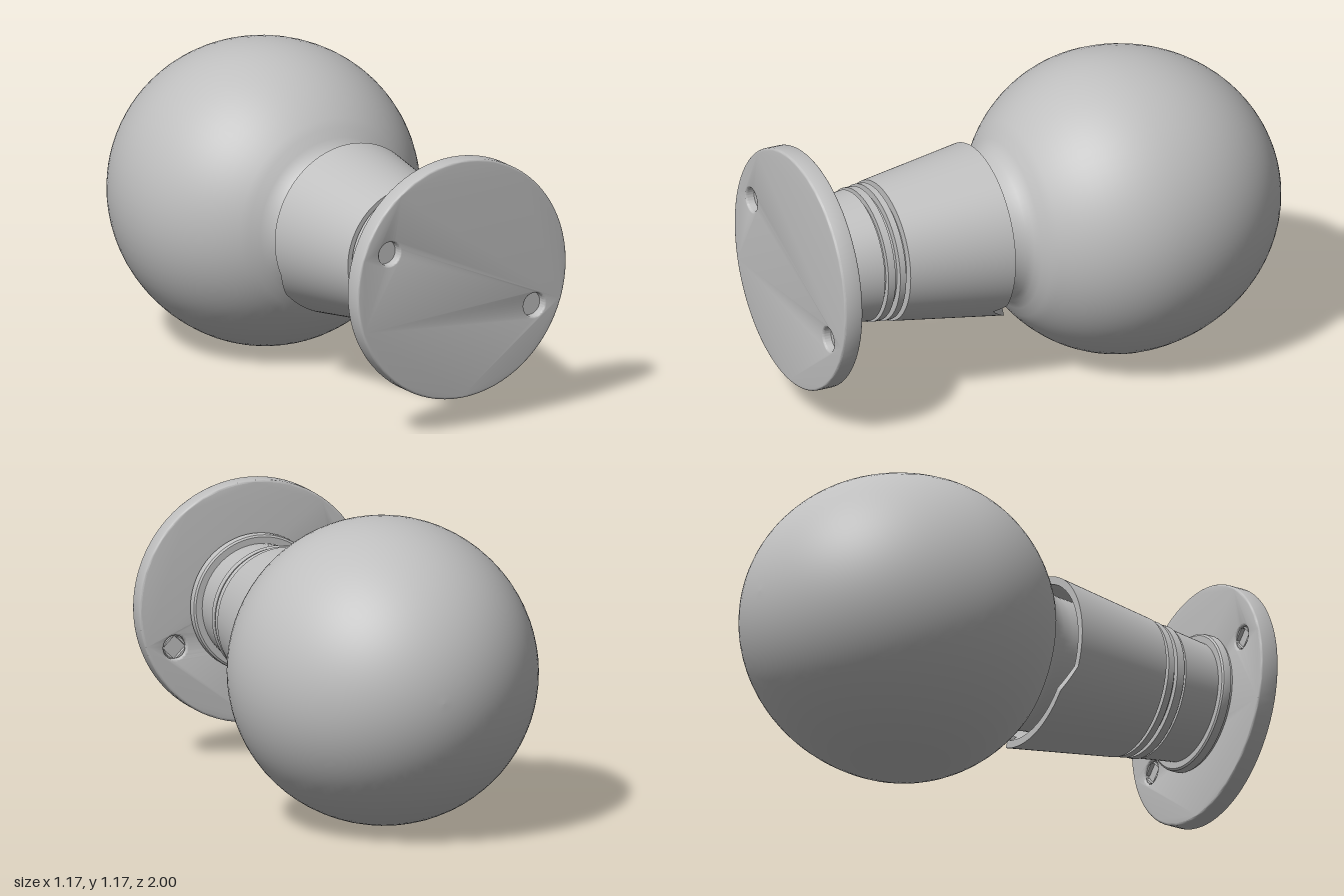
import * as THREE from 'three';
import { toCreasedNormals } from 'three/addons/utils/BufferGeometryUtils.js';

const AXIS_Y = 0.585; // height of the lamp axis, which runs along z

export function createModel() {
  const model = new THREE.Group();
  model.name = 'wallLamp';
  const lamp = new THREE.Group();
  lamp.name = 'lamp';
  lamp.position.y = AXIS_Y;
  model.add(lamp);

  const grey = new THREE.MeshStandardMaterial({ color: 0xbfbfbf });
  grey.name = 'grey';

  function add(name, geometry, parent = lamp) {
    const mesh = new THREE.Mesh(geometry, grey);
    mesh.name = name;
    parent.add(mesh);
    return mesh;
  }

  // Turned part around z; profile is [radius, z] with z increasing
  function turned(profile, segments = 72) {
    const points = profile.map(([r, z]) => new THREE.Vector2(r, z));
    return new THREE.LatheGeometry(points, segments).rotateX(Math.PI / 2);
  }

  // Bulb: two half ellipses flowing into a narrow neck
  const bulb = [];
  for (let i = 0; i <= 24; i++) {
    const a = (i / 24) * Math.PI / 2;
    bulb.push([0.583 * Math.sin(a), -0.36 - 0.64 * Math.cos(a)]);
  }
  for (let i = 1; i <= 12; i++) {
    const a = (i / 12) * 0.84;
    bulb.push([0.583 * Math.cos(a), -0.36 + 0.566 * Math.sin(a)]);
  }
  bulb.push([0.36, 0.085], [0.325, 0.104], [0.3, 0.122], [0.285, 0.143],
    [0.273, 0.175], [0.262, 0.22], [0.255, 0.3], [0.25, 0.42]);
  add('bulb', turned(bulb));

  // Socket sleeve: hollow cone whose rim has a notch and a tab underneath
  const rim = [[-180, 0.217], [-156, 0.217], [-138, 0.17], [-66, 0.17],
    [-48, 0.255], [-39, 0.217], [180, 0.217]];
  function rimZ(deg) {
    const i = Math.max(1, rim.findIndex(([d]) => deg <= d));
    const [d0, z0] = rim[i - 1], [d1, z1] = rim[i];
    return z0 + (z1 - z0) * (deg - d0) / (d1 - d0);
  }
  const coneR = (z) => 0.27 + (0.627 - z) * 0.152;
  const positions = [], index = [], columns = 120, rows = 6;
  for (let c = 0; c <= columns; c++) {
    const deg = -180 + c * 360 / columns;
    const a = THREE.MathUtils.degToRad(deg), z = rimZ(deg);
    const section = [[0.2, 0.627], [coneR(0.627), 0.627], [coneR(z), z],
      [coneR(z) - 0.03, z], [coneR(0.4) - 0.03, 0.4], [0.2, 0.4]];
    for (const [r, sz] of section) positions.push(r * Math.cos(a), r * Math.sin(a), sz);
    if (c === columns) break;
    for (let r = 0; r < rows - 1; r++) {
      const k = c * rows + r;
      index.push(k, k + 1, k + rows, k + 1, k + rows + 1, k + rows);
    }
  }
  const sleeve = new THREE.BufferGeometry();
  sleeve.setAttribute('position', new THREE.Float32BufferAttribute(positions, 3));
  sleeve.setIndex(index);
  add('socketSleeve', toCreasedNormals(sleeve, 0.5));

  // Grooved stem with two rings and a collar against the plate
  const stem = turned([[0.235, 0.6], [0.235, 0.642], [0.263, 0.642], [0.263, 0.667],
    [0.235, 0.667], [0.235, 0.684], [0.258, 0.684], [0.258, 0.714], [0.235, 0.714],
    [0.235, 0.725], [0.252, 0.725], [0.231, 0.88], [0.256, 0.88], [0.263, 0.885],
    [0.265, 0.892], [0.265, 0.915], [0.258, 0.918], [0.258, 0.93]]);
  add('groovedStem', toCreasedNormals(stem, 0.6));

  // Wall plate with softened edges and two screw holes
  const screws = [[-0.322, 0.152], [0.322, -0.152]];
  const bevel = 0.008;
  const disc = new THREE.Shape().absarc(0, 0, 0.465 - bevel, 0, Math.PI * 2);
  for (const [x, y] of screws) {
    disc.holes.push(new THREE.Path().absarc(x, y, 0.046 + bevel, 0, Math.PI * 2, true));
  }
  const plate = new THREE.ExtrudeGeometry(disc, {
    depth: 0.075 - 2 * bevel, bevelThickness: bevel, bevelSize: bevel,
    bevelSegments: 3, curveSegments: 40,
  }).translate(0, 0, 0.925 + bevel);
  add('wallPlate', toCreasedNormals(plate, 0.6));

  // Screws: a disc filling the hole, with four raised quarters leaving a cross slot
  const quarter = new THREE.Shape().moveTo(0.005, 0.005);
  quarter.absarc(0, 0, 0.042, 0.12, Math.PI / 2 - 0.12).closePath();
  const quarterGeometry = new THREE.ExtrudeGeometry(quarter, {
    depth: 0.015, bevelEnabled: false, curveSegments: 8,
  });
  for (const [x, y] of screws) {
    const screw = new THREE.Group();
    screw.name = 'screw';
    screw.position.set(x, y, 0.93);
    lamp.add(screw);
    const base = new THREE.CylinderGeometry(0.048, 0.048, 0.02, 32);
    add('screwBase', base.rotateX(Math.PI / 2).translate(0, 0, 0.025), screw);
    for (let i = 0; i < 4; i++) {
      add('screwHeadQuarter', quarterGeometry, screw).rotation.z = i * Math.PI / 2;
    }
  }

  return model;
}
